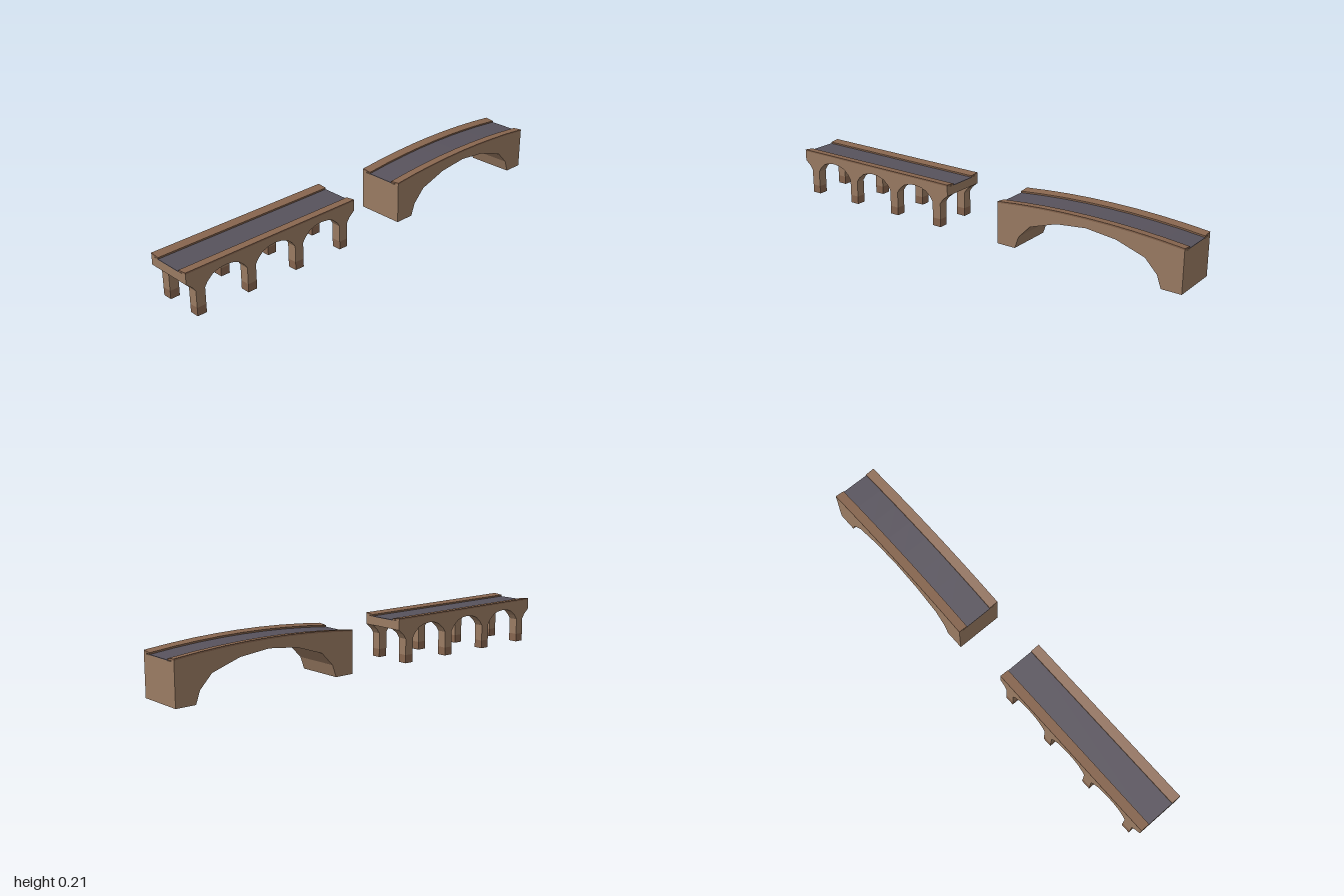
import * as THREE from 'three';

const W = 0.108;      // half width of a bridge
const R = 0.065;      // half width of the road
const HALF = 0.4325;  // half length of a bridge

const paint = (color) => new THREE.MeshStandardMaterial({ color, flatShading: true });
const stone = paint(0x9c7d64);
const trim = paint(0x88664f);
const asphalt = paint(0x57525c);

// Extrudes a side outline of [z, y] points across the bridge from x0 to x1
function slab(name, points, x0, x1, material) {
  const shape = new THREE.Shape(points.map(([z, y]) => new THREE.Vector2(z, y)));
  const geo = new THREE.ExtrudeGeometry(shape, { depth: x1 - x0, bevelEnabled: false });
  geo.rotateY(-Math.PI / 2).translate(x1, 0, 0);
  const mesh = new THREE.Mesh(geo, material);
  mesh.name = name;
  return mesh;
}

// Outline between a bottom line and a top line, both running towards +z
const between = (bottom, top) => [...bottom, ...[...top].reverse()];
const lift = (line, dy) => line.map(([z, y]) => [z, y + dy]);

// Road surface and the two sloping kerbs; edge is the outer top line of the kerb
function addTop(group, edge) {
  group.add(slab('road', between(lift(edge, -0.014), lift(edge, -0.0115)), -R, R, asphalt));
  for (const s of [-1, 1]) {
    const kerb = slab(s > 0 ? 'leftKerb' : 'rightKerb',
      between(lift(edge, -0.007), edge), s > 0 ? R : -W, s > 0 ? W : -R, trim);
    const p = kerb.geometry.attributes.position;
    for (let i = 0; i < p.count; i++) {
      if (Math.abs(p.getX(i)) < R + 0.001) p.setY(i, p.getY(i) - 0.0045);
    }
    kerb.geometry.computeVertexNormals();
    group.add(kerb);
  }
}

// Long viaduct on four pairs of legs
function createViaduct() {
  const group = new THREE.Group();
  group.name = 'viaduct';
  const edge = [[-HALF, 0.205], [HALF, 0.205]];
  const legs = [-0.3705, -0.1235, 0.1235, 0.3705];
  const h = 0.0215, foot = 0.037;
  // half arch, as distance from the leg and height
  const arch = [[0, 0.11], [0.014, 0.131], [0.04, 0.153], [0.068, 0.163]];
  const vault = arch.slice(2);

  const sideLine = [[-HALF, 0.153]];
  const midLine = [[-HALF, 0.153]];
  legs.forEach((c, i) => {
    const first = i === 0, last = i === legs.length - 1;
    const before = [...(first ? arch.slice(0, 2) : arch)].reverse();
    const after = last ? arch.slice(0, 2) : arch;
    sideLine.push(...before.map(([d, y]) => [c - h - d, y]), [c - h, foot], [c + h, foot],
      ...after.map(([d, y]) => [c + h + d, y]));
    if (!first) midLine.push(...[...vault].reverse().map(([d, y]) => [c - h - d, y]));
    if (!last) {
      midLine.push(...vault.map(([d, y]) => [c + h + d, y]), [c + 0.1235, 0.167]);
      sideLine.push([c + 0.1235, 0.167]);
    }
  });
  sideLine.push([HALF, 0.153]);
  midLine.push([HALF, 0.153]);

  group.add(slab('deck', between(midLine, lift(edge, -0.014)), -R, R, stone));
  for (const s of [-1, 1]) {
    const x0 = s > 0 ? R : -W, x1 = s > 0 ? W : -R;
    group.add(slab('archedSide', between(sideLine, lift(edge, -0.0115)), x0, x1, stone));
    // filler up to the outer kerb underside
    group.add(slab('sideCap', between(lift(edge, -0.0115), lift(edge, -0.007)), s > 0 ? W - 0.02 : -W, s > 0 ? W : -W + 0.02, stone));
    for (const c of legs) {
      const base = new THREE.Mesh(new THREE.BoxGeometry(W - R, foot, 2 * h), trim);
      base.name = 'legFoot';
      base.position.set((s * (W + R)) / 2, foot / 2, c);
      group.add(base);
    }
  }
  addTop(group, edge);
  return group;
}

// Solid bridge with one wide arch and a gently humped road
function createArchBridge() {
  const group = new THREE.Group();
  group.name = 'archBridge';
  const edge = [];
  for (let i = 0; i <= 8; i++) {
    const t = i / 4 - 1;
    edge.push([t * HALF, 0.214 - 0.024 * t * t]);
  }
  const half = [[0.343, 0], [0.324, 0.054], [0.268, 0.112], [0.138, 0.155]];
  const bottom = [[-HALF, 0], ...half.map(([z, y]) => [-z, y]), [0, 0.17],
    ...[...half].reverse(), [HALF, 0]];
  group.add(slab('archBody', between(bottom, lift(edge, -0.014)), -W, W, stone));
  for (const s of [-1, 1]) {
    group.add(slab('sideCap', between(lift(edge, -0.014), lift(edge, -0.007)),
      s > 0 ? W - 0.02 : -W, s > 0 ? W : -W + 0.02, stone));
  }
  addTop(group, edge);
  return group;
}

export function createModel() {
  const model = new THREE.Group();
  model.name = 'bridges';
  const viaduct = createViaduct();
  viaduct.position.z = 1 - HALF;
  const archBridge = createArchBridge();
  archBridge.position.z = HALF - 1;
  model.add(viaduct, archBridge);
  return model;
}
